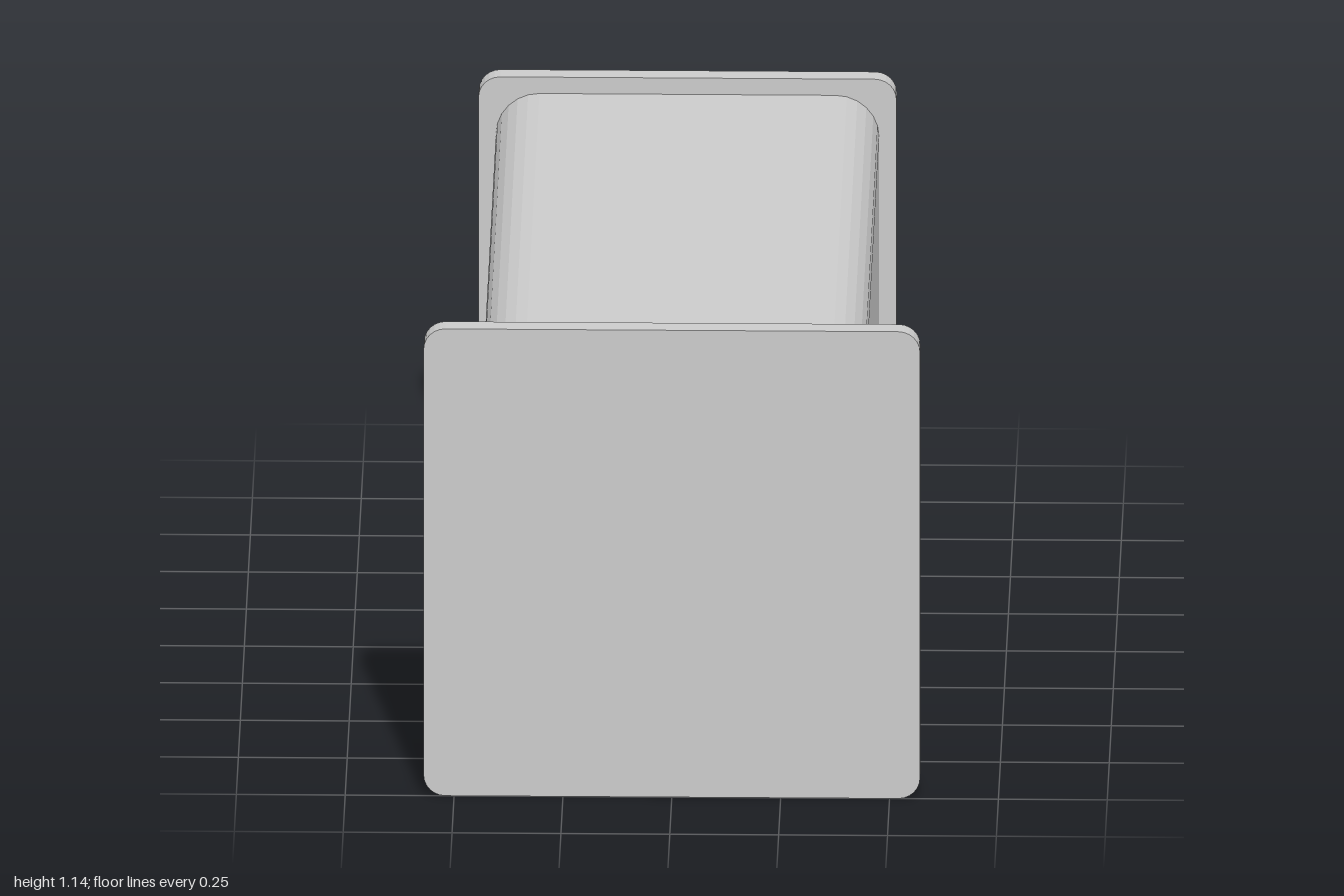
import * as THREE from 'three';

const CENTRE_Y = 0.57;

// Square outline with rounded corners
function roundedSquare(size, radius) {
  const shape = new THREE.Shape();
  const c = size / 2 - radius;
  [[1, 1], [-1, 1], [-1, -1], [1, -1]].forEach(([sx, sy], i) => {
    const start = i * Math.PI / 2;
    shape.absarc(sx * c, sy * c, radius, start, start + Math.PI / 2, false);
  });
  shape.closePath();
  return shape;
}

export function createModel() {
  const group = new THREE.Group();
  const material = new THREE.MeshStandardMaterial({ color: 0xcccccc, flatShading: true });

  // Rounded square prism running from z0 to z1
  function addPrism(name, size, radius, z0, z1) {
    const geometry = new THREE.ExtrudeGeometry(roundedSquare(size, radius), {
      depth: z1 - z0, bevelEnabled: false, curveSegments: 3,
    });
    const mesh = new THREE.Mesh(geometry, material);
    mesh.name = name;
    mesh.position.set(0, CENTRE_Y, z0);
    group.add(mesh);
  }

  addPrism('frontPlate', 1.14, 0.05, 0.95, 1);
  addPrism('body', 0.88, 0.1, -0.95, 0.95);
  addPrism('backPlate', 0.96, 0.05, -1, -0.95);

  return group;
}
